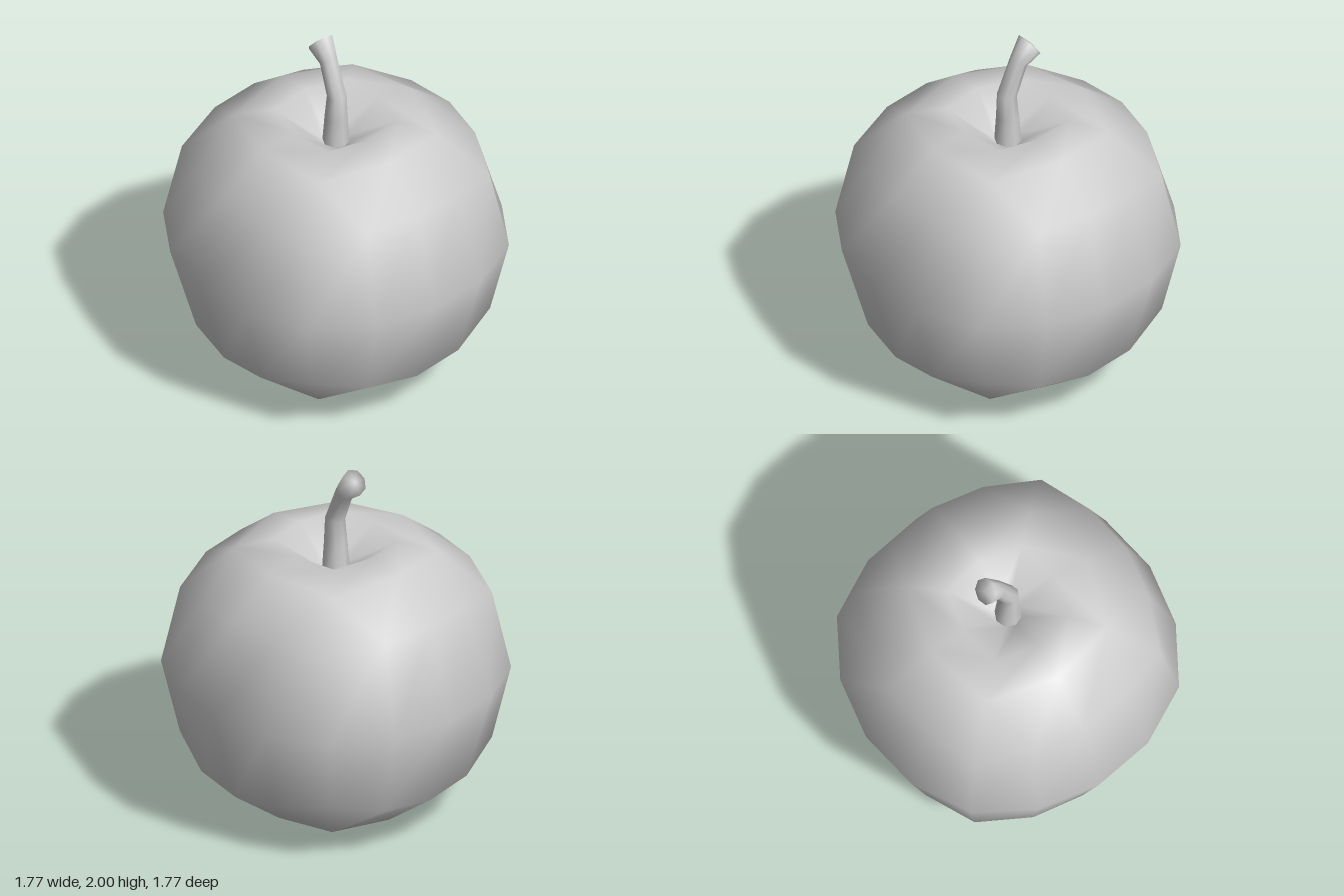
import * as THREE from 'three';
import { mergeVertices } from 'three/addons/utils/BufferGeometryUtils.js';

// Smooth skin over a stack of closed rings (bottom to top, equal point counts).
function skin(rings) {
  const n = rings[0].length;
  const positions = [];
  const addFace = (a, b, c) => {
    const flat = [[a, b], [b, c], [c, a]].some(([p, q]) => p.distanceTo(q) < 1e-4);
    if (!flat) for (const p of [a, b, c]) positions.push(p.x, p.y, p.z);
  };
  for (let i = 0; i < rings.length - 1; i++) {
    for (let j = 0; j < n; j++) {
      const k = (j + 1) % n;
      const low = rings[i], high = rings[i + 1];
      addFace(low[j], high[j], low[k]);
      addFace(low[k], high[j], high[k]);
    }
  }
  let geometry = new THREE.BufferGeometry();
  geometry.setAttribute('position', new THREE.Float32BufferAttribute(positions, 3));
  geometry = mergeVertices(geometry, 1e-4);
  geometry.computeVertexNormals();
  return geometry;
}

// Body ring from [radius, y] on the axes, on the diagonals and, for a
// 16-point ring, halfway between. Without a halfway entry it has 8 points.
function bodyRing(axis, diagonal, halfway) {
  return Array.from({ length: 16 }, (_, j) => {
    const odd = j % 2 === 1;
    const snapped = odd && !halfway ? Math.floor(j / 4) * 4 + 2 : j;
    const [r, y] = odd && halfway ? halfway : snapped % 4 === 0 ? axis : diagonal;
    const a = snapped * Math.PI / 8;
    return new THREE.Vector3(r * Math.cos(a), y, r * Math.sin(a));
  });
}

// Octagonal stem ring, tilted in the xy plane by an angle in degrees.
function stemRing([x, y, r, degrees]) {
  const t = THREE.MathUtils.degToRad(degrees);
  return Array.from({ length: 8 }, (_, j) => {
    const a = j * Math.PI / 4;
    const u = r * Math.cos(a);
    return new THREE.Vector3(x + u * Math.cos(t), y + u * Math.sin(t), r * Math.sin(a));
  });
}

export function createModel() {
  const group = new THREE.Group();
  group.name = 'apple';
  const material = new THREE.MeshStandardMaterial({ color: 0xcccccc });

  // Fruit body, from the underside up over the rim and down into the dimple
  const body = new THREE.Mesh(skin([
    bodyRing([0, 0], [0, 0]),
    bodyRing([0.41, 0.04], [0.57, 0.11]),
    bodyRing([0.725, 0.28], [0.82, 0.39], [0.755, 0.31]),
    bodyRing([0.885, 0.81], [0.92, 0.81], [0.895, 0.81]),
    bodyRing([0.735, 1.32], [0.82, 1.25], [0.75, 1.31]),
    bodyRing([0.48, 1.52], [0.54, 1.49]),
    bodyRing([0.28, 1.55], [0.33, 1.545]),
    bodyRing([0.08, 1.39], [0.08, 1.39]),
    bodyRing([0, 1.36], [0, 1.36]),
  ]), material);
  body.name = 'body';

  // Bent stem: [x, y, radius, tilt], flared at the cut end
  const stem = new THREE.Mesh(skin([
    [0, 1.35, 0.075, 0],
    [0.002, 1.54, 0.062, 0],
    [0.007, 1.675, 0.053, 5],
    [-0.067, 1.86, 0.05, 38],
    [-0.14, 1.942, 0.074, 52],
    [-0.148, 1.948, 0, 52],
  ].map(stemRing)), material);
  stem.name = 'stem';

  group.add(body, stem);
  return group;
}
